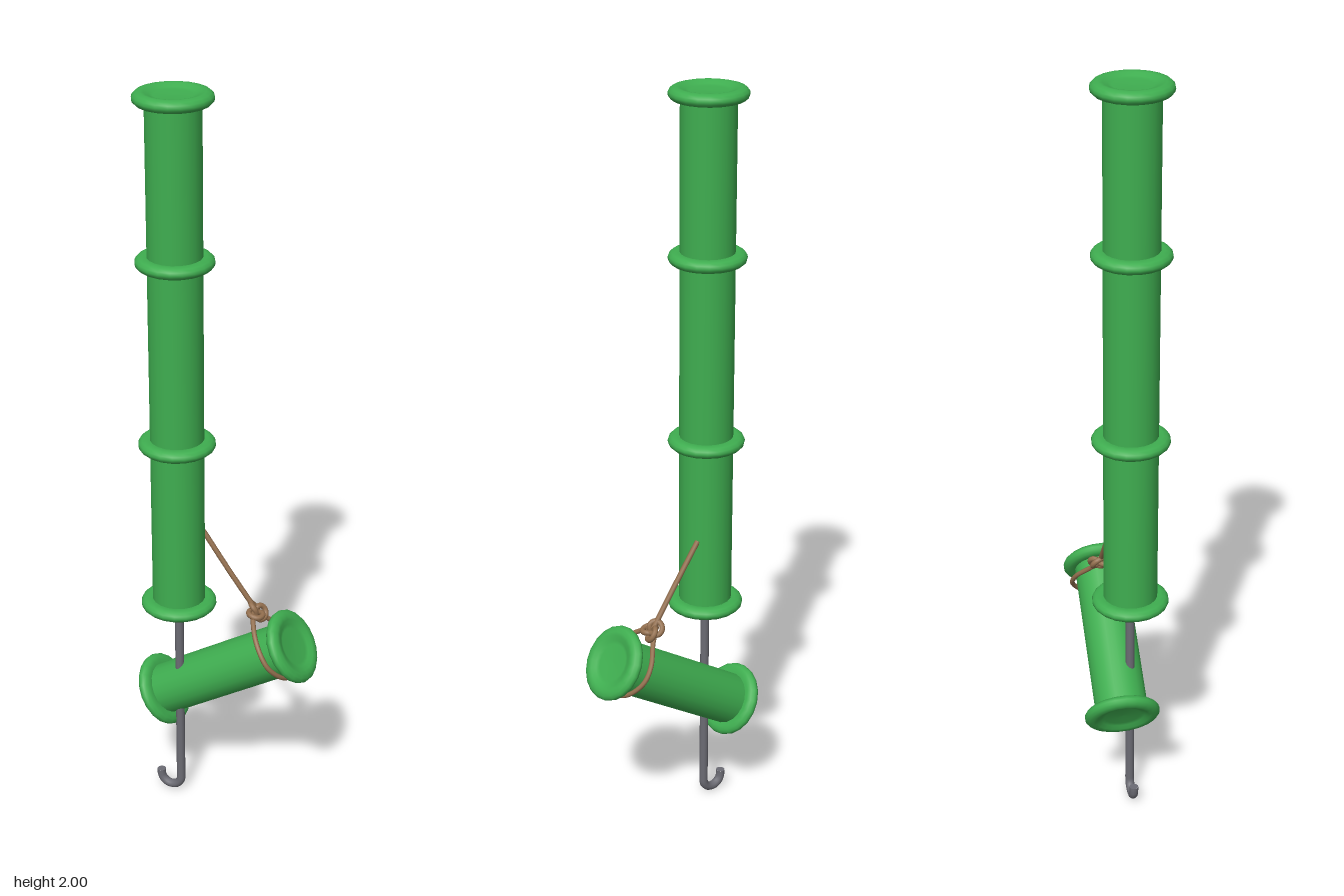
import * as THREE from 'three';

const green = new THREE.MeshStandardMaterial({ name: 'bambooGreen', color: 0x3fae50 });
const steel = new THREE.MeshStandardMaterial({ name: 'steelGrey', color: 0x6c6c74 });
const twine = new THREE.MeshStandardMaterial({ name: 'ropeBrown', color: 0x94704f });

const SIDES = 20;
const v = (x, y, z) => new THREE.Vector3(x, y, z);
const lathe = (pts) => new THREE.LatheGeometry(pts.map(([r, y]) => new THREE.Vector2(r, y)), SIDES);

function add(parent, name, geometry, material) {
  const mesh = new THREE.Mesh(geometry, material);
  mesh.name = name;
  parent.add(mesh);
  return mesh;
}

// Rounded lip shared by middle rings and ends
const lip = [[0.066, -0.014], [0.08, -0.0165], [0.091, -0.0135], [0.098, -0.007], [0.1, 0],
  [0.098, 0.007], [0.091, 0.0135], [0.08, 0.0165]];
const ringGeometry = lathe([...lip, [0.066, 0.014]]);
// End flange closed by a shallow dish
const endGeometry = lathe([...lip, [0.07, 0.015], [0.058, 0.009], [0.048, 0.006], [0, 0.005]]);

// A tube along y between two end flanges, with optional middle rings
function bambooTube(name, length, ringHeights) {
  const group = new THREE.Group();
  group.name = name;
  const wall = add(group, 'tubeWall', new THREE.CylinderGeometry(0.07, 0.07, length, SIDES, 1, true), green);
  wall.position.y = length / 2;
  for (const y of ringHeights) add(group, 'nodeRing', ringGeometry, green).position.y = y;
  add(group, 'topFlange', endGeometry, green).position.y = length;
  add(group, 'bottomFlange', endGeometry, green).rotation.x = Math.PI;
  return group;
}

function rope(parent, name, points, radius, closed, segments) {
  const curve = new THREE.CatmullRomCurve3(points, closed);
  return add(parent, name, new THREE.TubeGeometry(curve, segments, radius, 8, closed), twine);
}

export function createModel() {
  const model = new THREE.Group();
  model.name = 'hookedBamboo';

  // Tall upright tube
  const pole = bambooTube('tallTube', 1.371, [0.466, 0.96]);
  pole.position.set(-0.13, 0.612, 0.015);
  model.add(pole);

  // Short tilted tube hanging on the rod
  const low = v(-0.193, 0.298, -0.018);
  const high = v(0.187, 0.537, -0.007);
  const axis = high.clone().sub(low);
  const short = bambooTube('shortTube', axis.length(), []);
  short.position.copy(low);
  short.quaternion.setFromUnitVectors(v(0, 1, 0), axis.normalize());
  model.add(short);

  // Rod with a hook bent towards -x
  const path = new THREE.CurvePath();
  const hookPoints = [];
  for (let i = 0; i <= 12; i++) {
    const a = -Math.PI * i / 12;
    hookPoints.push(v(-0.16 + 0.03 * Math.cos(a), 0.042 + 0.03 * Math.sin(a), 0.015));
  }
  path.add(new THREE.LineCurve3(v(-0.13, 0.62, 0.015), hookPoints[0]));
  path.add(new THREE.CatmullRomCurve3(hookPoints));
  path.add(new THREE.LineCurve3(hookPoints[12], v(-0.19, 0.053, 0.015)));
  add(model, 'hookRod', new THREE.TubeGeometry(path, 120, 0.012, 10), steel);
  const tip = add(model, 'hookTip', new THREE.CircleGeometry(0.012, 10), steel);
  tip.rotation.x = -Math.PI / 2;
  tip.position.set(-0.19, 0.053, 0.015);

  // Cord from the tall tube down to the knot
  const cord = new THREE.Group();
  cord.name = 'cord';
  model.add(cord);
  rope(cord, 'cordLine', [v(-0.075, 0.818, -0.022), v(0, 0.713, -0.023), v(0.075, 0.61, -0.027)], 0.007, false, 12);

  // Teardrop loop around the upper end of the short tube
  const loopPoints = [v(0.072, 0.605, -0.026)];
  const side = [[0.095, 0.578, 0.042], [0.125, 0.54, 0.074], [0.15, 0.505, 0.08],
    [0.172, 0.473, 0.06], [0.183, 0.453, 0.03]];
  for (const [x, y, z] of side) loopPoints.push(v(x, y, -0.01 + z));
  loopPoints.push(v(0.186, 0.447, -0.01));
  for (const [x, y, z] of side.slice().reverse()) loopPoints.push(v(x, y, -0.01 - z));
  rope(cord, 'cordLoop', loopPoints, 0.0065, true, 60);

  // Knot where loop and line meet
  const knot = add(cord, 'knot', new THREE.TorusKnotGeometry(0.019, 0.0075, 64, 8, 2, 3), twine);
  knot.position.set(0.078, 0.606, -0.027);
  knot.quaternion.setFromUnitVectors(v(0, 0, 1), v(0.6, 0.8, 0).normalize());

  return model;
}
